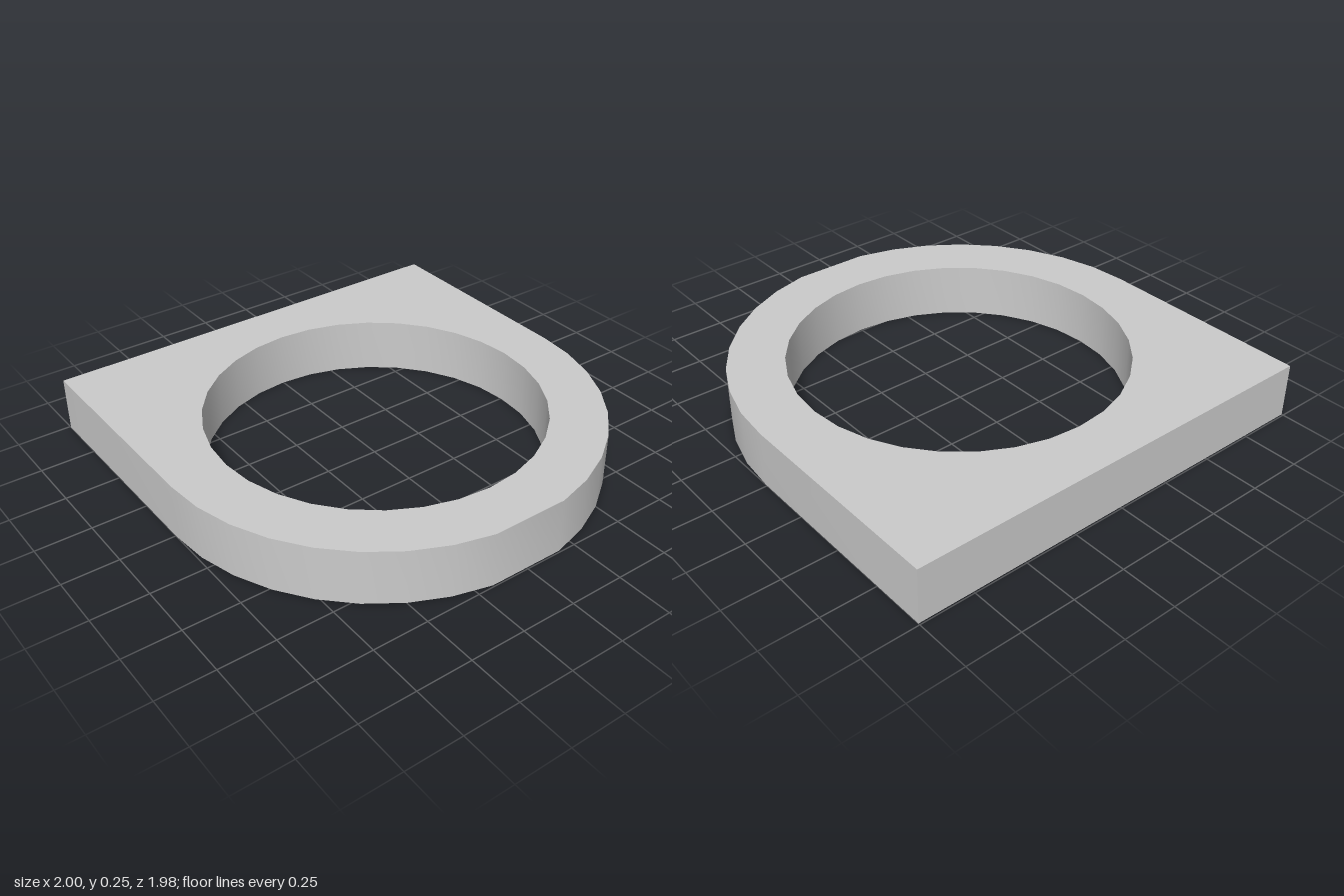
import * as THREE from 'three';
import { toCreasedNormals } from 'three/addons/utils/BufferGeometryUtils.js';

const HEIGHT = 0.25, RADIUS = 1, HOLE_RADIUS = 0.75;

// Point on a circle, angle in degrees
const polar = (r, deg) => {
  const a = THREE.MathUtils.degToRad(deg);
  return new THREE.Vector2(r * Math.cos(a), r * Math.sin(a));
};

export function createModel() {
  const group = new THREE.Group();
  group.name = 'mountingPlate';

  // Outline: square back half, rounded front with one wide flat facet at the tip
  const outline = [new THREE.Vector2(1, 1), new THREE.Vector2(-1, 1)];
  for (let deg = 180; deg <= 360; deg += 10) {
    if (deg !== 270) outline.push(polar(RADIUS, deg));
  }
  const shape = new THREE.Shape(outline);

  // Round through-hole
  const hole = [];
  for (let i = 0; i < 32; i++) hole.push(polar(HOLE_RADIUS, -i * 360 / 32));
  shape.holes.push(new THREE.Path(hole));

  // Lay the extrusion flat and centre its depth
  const extruded = new THREE.ExtrudeGeometry(shape, { depth: HEIGHT, bevelEnabled: false });
  extruded.rotateX(-Math.PI / 2);
  extruded.translate(0, 0, (1 - Math.cos(Math.PI / 18)) / 2);

  const plate = new THREE.Mesh(
    toCreasedNormals(extruded, Math.PI / 6),
    new THREE.MeshStandardMaterial({ color: 0xcccccc })
  );
  plate.name = 'ringPlate';
  group.add(plate);
  return group;
}
